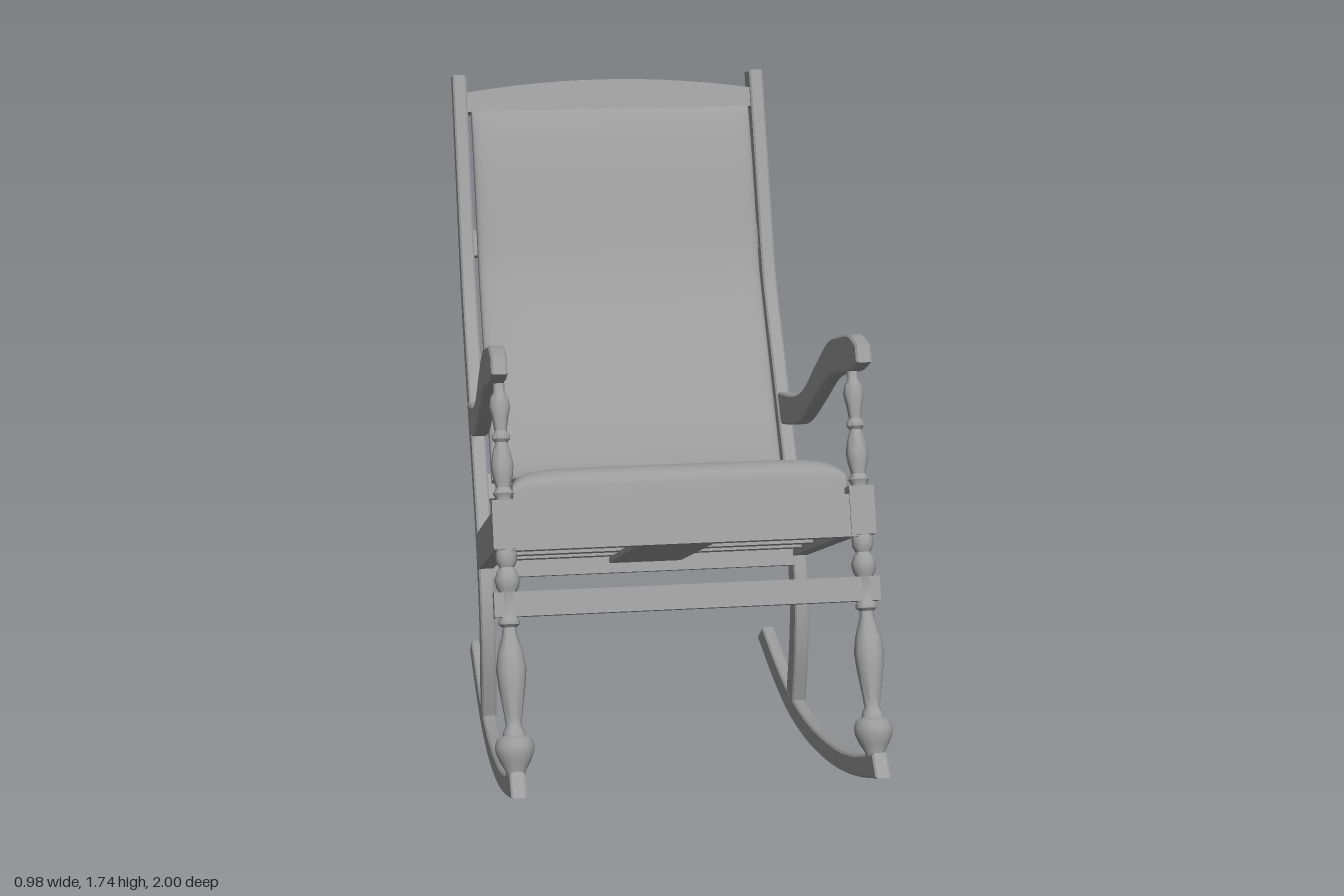
import * as THREE from 'three';
import { mergeVertices, toCreasedNormals } from 'three/addons/utils/BufferGeometryUtils.js';

const material = new THREE.MeshStandardMaterial({ color: 0x9c9c9c });
const SIDE_X = 0.44; // centre of the side frames
const TILT = -0.398; // lean of the seat and front legs

function add(parent, name, geometry, x = 0, y = 0, z = 0, tilt = 0) {
  const mesh = new THREE.Mesh(geometry, material);
  mesh.name = name;
  mesh.position.set(x, y, z);
  mesh.rotation.x = tilt;
  parent.add(mesh);
}

const box = (w, h, d) => new THREE.BoxGeometry(w, h, d);

function spline(points) {
  return new THREE.CatmullRomCurve3(points.map(([z, y]) => new THREE.Vector3(z, y, 0)));
}

// Board with a curved side outline: two [z, y] edges, extruded across x with eased corners
function sideBoard(edgeA, edgeB, width) {
  const ease = 0.005;
  const outline = [...spline(edgeA).getPoints(36), ...spline(edgeB).getPoints(36)];
  const shape = new THREE.Shape(outline.map((p) => new THREE.Vector2(p.x, p.y)));
  const geometry = new THREE.ExtrudeGeometry(shape, {
    depth: width - 2 * ease, bevelThickness: ease, bevelSize: ease, bevelOffset: -ease, bevelSegments: 1,
  });
  geometry.rotateY(-Math.PI / 2).translate(width / 2 - ease, 0, 0);
  return toCreasedNormals(geometry, 0.5);
}

// Closed padded slab, thick in y, thinning toward a rounded rim
function pad(width, thickness, length) {
  let geometry = new THREE.BoxGeometry(2, 2, 2, 28, 4, 36);
  const p = geometry.attributes.position;
  const ease = (v) => Math.sin((v * Math.PI) / 2);
  for (let i = 0; i < p.count; i++) {
    const a = ease(p.getX(i));
    const c = ease(p.getZ(i));
    const swell = Math.sqrt(Math.max(0, (1 - a ** 10) * (1 - c ** 10)));
    p.setXYZ(i, (a * width) / 2, (p.getY(i) * thickness * (0.35 + 0.65 * swell)) / 2, (c * length) / 2);
  }
  geometry.deleteAttribute('uv');
  geometry.deleteAttribute('normal');
  geometry = mergeVertices(geometry);
  geometry.computeVertexNormals();
  return geometry;
}

// Pad bent along a [z, y] path running from its bottom to its top
function bentPad(width, thickness, path) {
  const curve = spline(path);
  const geometry = pad(width, thickness, 1);
  const p = geometry.attributes.position;
  for (let i = 0; i < p.count; i++) {
    const t = THREE.MathUtils.clamp(p.getZ(i) + 0.5, 0, 1);
    const at = curve.getPointAt(1 - t);
    const dir = curve.getTangentAt(1 - t);
    const out = p.getY(i);
    p.setXYZ(i, p.getX(i), at.y - dir.x * out, at.x + dir.y * out);
  }
  geometry.computeVertexNormals();
  return geometry;
}

function turnedLeg() {
  const profile = [
    [0, -0.02], [0.02, -0.02], [0.024, 0.005], [0.036, 0.025], [0.046, 0.048], [0.048, 0.065], [0.042, 0.082],
    [0.028, 0.09], [0.026, 0.1], [0.019, 0.115], [0.022, 0.14], [0.033, 0.21], [0.037, 0.25], [0.031, 0.29],
    [0.018, 0.335], [0.017, 0.35], [0.026, 0.357], [0.026, 0.367], [0.02, 0.375], [0.02, 0.435],
    [0.027, 0.445], [0.031, 0.465], [0.025, 0.485], [0.018, 0.495], [0.026, 0.51], [0.026, 0.53],
    [0.02, 0.545], [0.02, 0.665], [0.026, 0.675], [0.018, 0.69], [0.025, 0.72], [0.028, 0.745],
    [0.022, 0.775], [0.015, 0.8], [0.022, 0.808], [0.022, 0.818], [0.015, 0.828], [0.02, 0.86],
    [0.026, 0.888], [0.022, 0.91], [0.014, 0.925], [0.014, 0.95], [0, 0.95],
  ];
  return toCreasedNormals(new THREE.LatheGeometry(profile.map(([r, y]) => new THREE.Vector2(r, y)), 24), 0.7);
}

export function createModel() {
  const chair = new THREE.Group();
  chair.name = 'rockingChair';

  // Side boards
  const rocker = sideBoard(
    [[0.95, 0.345], [0.74, 0.25], [0.52, 0.175], [0.14, 0.09], [-0.16, 0.065], [-0.39, 0.078], [-0.575, 0.1]],
    [[-0.65, 0.04], [-0.42, 0.012], [-0.2, 0], [0, 0.012], [0.25, 0.052], [0.52, 0.12], [0.77, 0.205], [1, 0.3]],
    0.038
  );
  const backPost = sideBoard(
    [[-0.07, 0.06], [-0.045, 0.24], [-0.055, 0.385], [-0.1, 0.51], [-0.18, 0.63], [-0.315, 0.79], [-0.45, 0.953],
      [-0.585, 1.115], [-0.64, 1.19], [-0.73, 1.373], [-0.82, 1.557], [-0.91, 1.74]],
    [[-1, 1.725], [-0.907, 1.53], [-0.813, 1.335], [-0.72, 1.14], [-0.635, 1.015], [-0.5, 0.86], [-0.37, 0.712],
      [-0.235, 0.56], [-0.155, 0.41], [-0.13, 0.28], [-0.16, 0.06]],
    0.04
  );
  const arm = sideBoard(
    [[0.628, 1.285], [0.545, 1.288], [0.43, 1.257], [0.3, 1.213], [0.14, 1.11], [-0.02, 1.0], [-0.16, 0.942], [-0.405, 0.885]],
    [[-0.35, 0.805], [-0.2, 0.845], [-0.07, 0.89], [0.1, 0.99], [0.275, 1.1], [0.36, 1.137], [0.465, 1.17], [0.59, 1.212], [0.65, 1.245]],
    0.04
  );
  const leg = turnedLeg();

  // Leaning assembly: its origin is the foot of the front legs
  const seat = new THREE.Group();
  seat.name = 'seatAssembly';
  seat.position.set(0, 0.32, 0.9);
  seat.rotation.x = TILT;
  chair.add(seat);

  for (const [side, s] of [['left', 1], ['right', -1]]) {
    add(chair, side + 'Rocker', rocker, s * SIDE_X);
    add(chair, side + 'BackPost', backPost, s * SIDE_X);
    add(chair, side + 'Arm', arm, s * (SIDE_X + 0.005));
    add(seat, side + 'FrontLeg', leg, s * SIDE_X);
    add(seat, side + 'LegBlock', box(0.062, 0.12, 0.06), s * SIDE_X, 0.598, 0);
    add(seat, side + 'SeatRail', box(0.04, 0.1, 0.88), s * SIDE_X, 0.596, -0.44);
  }

  // Seat frame
  add(seat, 'frontSeatRail', box(0.86, 0.105, 0.05), 0, 0.586, 0);
  add(seat, 'frontStretcher', box(0.95, 0.06, 0.05), 0, 0.405, -0.008);
  add(seat, 'backSeatRail', box(0.85, 0.09, 0.035), 0, 0.565, -0.865);
  add(seat, 'centreSlat', box(0.2, 0.015, 0.83), 0, 0.553, -0.415);
  for (const z of [-0.2, -0.38, -0.57, -0.74]) {
    add(seat, 'crossSlat', box(0.85, 0.02, 0.06), 0, 0.57, z);
  }
  add(seat, 'seatCushion', pad(0.83, 0.166, 0.85), 0, 0.663, -0.455);

  // Upholstered back
  add(chair, 'backCushion', bentPad(0.82, 0.074, [
    [-0.25, 0.695], [-0.33, 0.798], [-0.46, 0.955], [-0.59, 1.115], [-0.645, 1.19], [-0.73, 1.363], [-0.8, 1.506], [-0.875, 1.635],
  ]));

  // Rails across the rear of the back
  for (const [y, z, tilt] of [[1.27, -0.742, -0.456], [0.95, -0.54, -0.7], [0.665, -0.29, -0.7]]) {
    add(chair, 'backRail', box(0.85, 0.075, 0.03), 0, y, z, tilt);
  }

  // Arched crest rail
  const crest = new THREE.Shape();
  crest.moveTo(-0.425, 0);
  crest.lineTo(0.425, 0);
  crest.lineTo(0.425, 0.058);
  crest.quadraticCurveTo(0, 0.125, -0.425, 0.058);
  const crestGeometry = new THREE.ExtrudeGeometry(crest, { depth: 0.035, bevelEnabled: false, curveSegments: 24 });
  add(chair, 'crestRail', toCreasedNormals(crestGeometry, 0.5), 0, 1.621, -0.908, -0.456);

  return chair;
}
